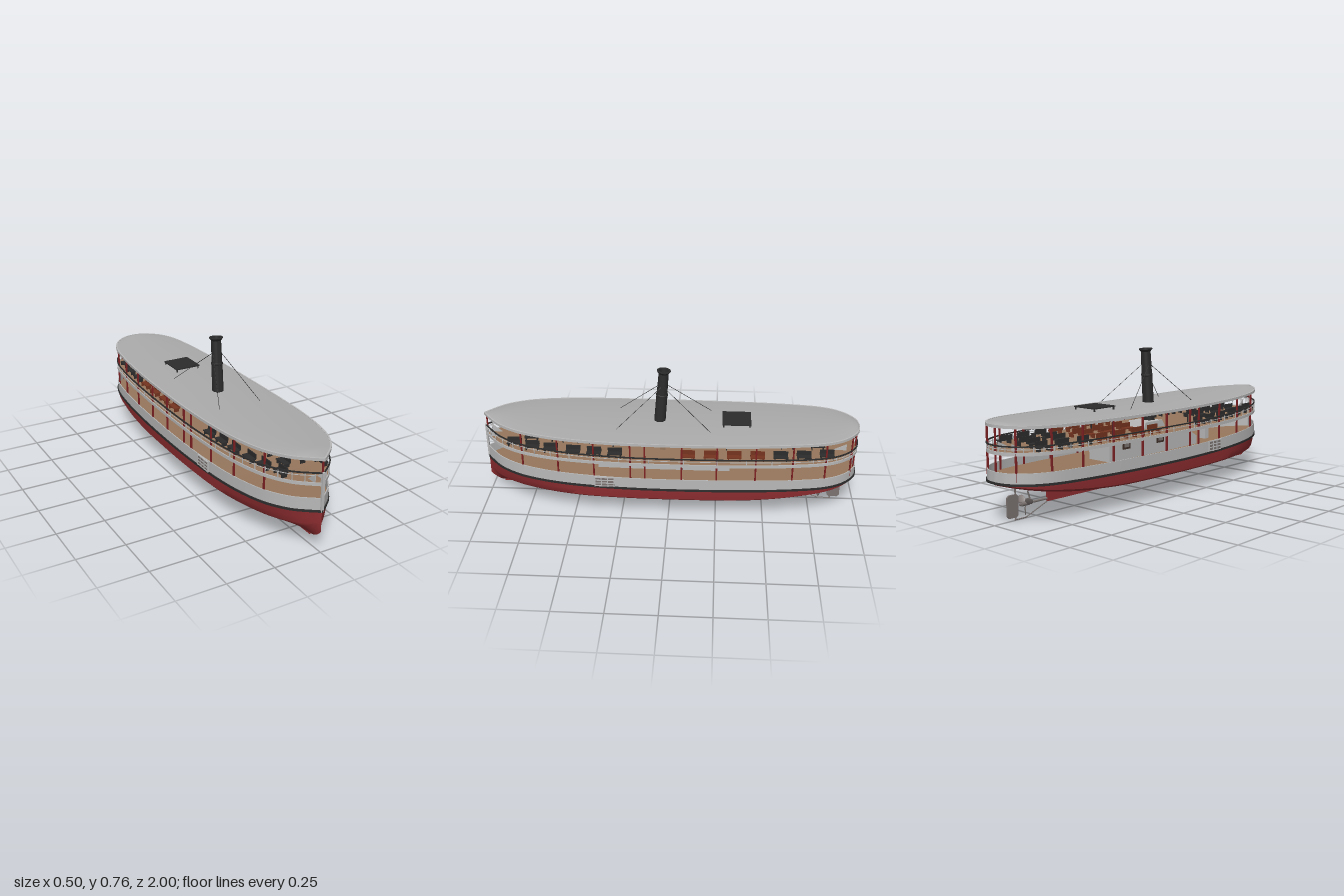
import * as THREE from 'three';
import { toCreasedNormals } from 'three/addons/utils/BufferGeometryUtils.js';

const mat = (name, color) => {
  const m = new THREE.MeshStandardMaterial({ color });
  m.name = name;
  return m;
};
const M = {
  hull: mat('hull red', 0x8c2c2f), post: mat('post red', 0x7d2022), white: mat('painted grey white', 0xb8b8b8),
  roof: mat('roof grey', 0xaaaaaa), black: mat('black iron', 0x2c2c2c), deck: mat('deck timber', 0x96765c),
  metal: mat('bare metal', 0x7a7270), bench: mat('rust bench', 0x74331f), brown: mat('window frame', 0x40302a),
};

// Deck outline: half breadth from bow to stern
const outline = new THREE.CatmullRomCurve3([
  [0.995, 0], [0.965, 0.037], [0.9, 0.105], [0.8, 0.163], [0.7, 0.195], [0.55, 0.222], [0.35, 0.238], [0.1, 0.245],
  [-0.2, 0.243], [-0.45, 0.234], [-0.65, 0.218], [-0.8, 0.195], [-0.88, 0.165], [-0.94, 0.12], [-0.98, 0.062], [-0.992, 0],
].map(([z, x]) => new THREE.Vector3(x, 0, z)));
const half = outline.getPoints(75);
const loop = [...half, ...half.slice(1, -1).reverse().map(p => new THREE.Vector3(-p.x, 0, p.z))];
const halfWidth = z => {
  const i = Math.max(1, half.findIndex(p => p.z <= z));
  const a = half[i - 1], b = half[i];
  return a.x + (b.x - a.x) * (a.z - z) / (a.z - b.z);
};

// Sheer lines: height as a function of z
const sheer = (mid, bow, stern) => z => mid + ((z > 0 ? bow : stern) - mid) * z * z;
const Y = {
  gunwale: sheer(0.185, 0.215, 0.197), mainDeck: sheer(0.2, 0.228, 0.208), bulwark: sheer(0.247, 0.28, 0.25),
  upperDeck: sheer(0.332, 0.35, 0.337), rail: sheer(0.374, 0.41, 0.374), roof: sheer(0.455, 0.48, 0.465),
};

const add = (group, name, geo, material, x = 0, y = 0, z = 0) => {
  const mesh = new THREE.Mesh(geo, material);
  mesh.name = name;
  mesh.position.set(x, y, z);
  group.add(mesh);
  return mesh;
};
const box = (g, name, m, w, h, d, x, y, z) => add(g, name, new THREE.BoxGeometry(w, h, d), m, x, y, z);

// Skin a surface over rings of [x, y, z] points
function loft(rings, closed = false) {
  const n = rings[0].length, index = [];
  const last = closed ? rings.length : rings.length - 1;
  for (let i = 0; i < last; i++) for (let j = 0; j < n - 1; j++) {
    const a = i * n + j, b = ((i + 1) % rings.length) * n + j;
    index.push(a, b, b + 1, a, b + 1, a + 1);
  }
  const geo = new THREE.BufferGeometry();
  geo.setAttribute('position', new THREE.Float32BufferAttribute(rings.flat(2), 3));
  geo.setIndex(index);
  return toCreasedNormals(geo, 0.6);
}

// Rectangular section carried round the outline
function band(in0, out0, y0, y1) {
  const n = loop.length;
  return loft(loop.map((p, i) => {
    const t = loop[(i + 1) % n].clone().sub(loop[(i + n - 1) % n]).normalize();
    const at = (o, y) => [p.x - t.z * o, y(p.z), p.z + t.x * o];
    return [at(out0, y0), at(out0, y1), at(in0, y1), at(in0, y0), at(out0, y0)];
  }), true);
}

// Cambered sheet filling the outline, facing up or down
function sheet(y, crown, up) {
  return loft(half.map(p => Array.from({ length: 13 }, (_, j) => {
    const s = (j / 6 - 1) * (up ? -1 : 1);
    return [s * p.x, y(p.z) + crown * Math.min(1, p.x / 0.1) * (1 - s * s), p.z];
  })));
}

// Side profile in [z, y], extruded across x
function profile(pts, width) {
  const shape = new THREE.Shape(pts.map(p => new THREE.Vector2(...p)));
  return new THREE.ExtrudeGeometry(shape, { depth: width, bevelEnabled: false })
    .rotateY(-Math.PI / 2).translate(width / 2, 0, 0);
}

function rod(g, name, m, a, b, r, sides = 6) {
  const A = new THREE.Vector3(...a), B = new THREE.Vector3(...b), d = B.clone().sub(A);
  const mesh = add(g, name, new THREE.CylinderGeometry(r, r, d.length(), sides), m);
  mesh.position.copy(A).add(B).multiplyScalar(0.5);
  mesh.quaternion.setFromUnitVectors(new THREE.Vector3(0, 1, 0), d.normalize());
}

function hullGeometry() {
  return loft(half.map(({ x: w, z }) => {
    const g = Y.gunwale(z);
    const aft = Math.max(0, (-z - 0.3) / 0.7), fwd = Math.max(0, (z - 0.92) / 0.075);
    const k = 0.06 + 0.13 * aft ** 1.8 + 0.045 * fwd ** 2;
    const fine = 1 - 0.4 * Math.max(0, (z - 0.4) / 0.6) ** 1.5;
    const side = [[0.25, 0.1], [0.55, 0.25], [0.85, 0.4], [0.96, 0.46], [0.99, 0.52], [1, 0.75]]
      .map(([u, v]) => [w * u * (fine + (1 - fine) * v), k + v * (g - k), z]);
    side.push([w, g, z]);
    return [...side.slice().reverse().map(([x, y, q]) => [-x, y, q]), [0, k, z], ...side];
  }));
}

function bench(g, x, z, s, m) {
  const b = new THREE.Group();
  b.name = 'bench';
  b.position.set(x, Y.upperDeck(z) + 0.003, z);
  box(b, 'benchSeat', m, 0.032, 0.005, 0.075, 0, 0.02, 0);
  box(b, 'benchBack', m, 0.005, 0.022, 0.075, -s * 0.016, 0.034, 0);
  for (const e of [-1, 1]) box(b, 'benchLegs', m, 0.028, 0.02, 0.005, 0, 0.01, e * 0.03);
  g.add(b);
}

export function createModel() {
  const g = new THREE.Group();
  const off = (f, d) => z => f(z) + d;

  // Hull, keel and bulwark
  add(g, 'hull', hullGeometry(), M.hull);
  box(g, 'keel', M.hull, 0.014, 0.048, 1.6, 0, 0.081, 0.12);
  add(g, 'bulwark', band(-0.005, 0, off(Y.gunwale, -0.004), Y.bulwark), M.white);
  add(g, 'rubRail', band(-0.002, 0.005, off(Y.gunwale, -0.006), off(Y.gunwale, 0.005)), M.black);
  add(g, 'mainDeck', sheet(Y.mainDeck, 0, true), M.deck);
  box(g, 'stemPost', M.white, 0.014, 0.2, 0.01, 0, 0.31, 0.993);

  // Upper deck and roof
  add(g, 'upperDeckTop', sheet(off(Y.upperDeck, 0.003), 0, true), M.deck);
  add(g, 'upperDeckUnderside', sheet(off(Y.upperDeck, -0.006), 0, false), M.deck);
  add(g, 'upperDeckEdge', band(-0.004, 0.001, off(Y.upperDeck, -0.008), off(Y.upperDeck, 0.008)), M.white);
  add(g, 'roofTop', sheet(Y.roof, 0.012, true), M.roof);
  add(g, 'roofUnderside', sheet(off(Y.roof, -0.008), 0.01, false), M.roof);
  add(g, 'roofRim', band(-0.005, 0.003, off(Y.roof, -0.012), off(Y.roof, 0.002)), M.white);

  // Railing round the upper deck
  add(g, 'handRail', band(-0.004, 0.002, off(Y.rail, -0.006), Y.rail), M.black);
  add(g, 'midRail', band(-0.002, 0, off(Y.rail, -0.018), off(Y.rail, -0.015)), M.white);
  for (let i = 2; i < loop.length; i += 3) {
    const { x, z } = loop[i], y0 = Y.upperDeck(z), y1 = Y.rail(z) - 0.004;
    box(g, 'stanchion', M.white, 0.004, y1 - y0, 0.004, x * 0.99, (y0 + y1) / 2, z * 0.998);
  }

  // Red posts carrying the roof
  for (const z of [0.77, 0.575, 0.385, 0.195, 0.12, -0.07, -0.25, -0.45, -0.64, -0.81, -0.95]) {
    const y0 = Y.mainDeck(z), y1 = Y.roof(z) - 0.006;
    for (const s of [-1, 1])
      box(g, 'roofPost', M.post, 0.008, y1 - y0, 0.008, s * (halfWidth(z) - 0.007), (y0 + y1) / 2, z);
  }
  box(g, 'bowPost', M.post, 0.007, 0.075, 0.007, 0, 0.44, 0.985);
  box(g, 'sternPost', M.post, 0.007, 0.25, 0.007, 0, 0.335, -0.984);

  // Deckhouse with sloping front and framed windows
  add(g, 'deckhouse', profile([[-0.32, 0.195], [0.385, 0.195], [0.385, 0.25], [0.25, 0.327], [-0.32, 0.327]], 0.145), M.white);
  box(g, 'forwardCabinet', M.white, 0.05, 0.12, 0.035, 0, 0.268, 0.54);
  for (const s of [-1, 1]) for (const z of [0.07, -0.195]) {
    box(g, 'windowFrame', M.brown, 0.006, 0.05, 0.055, s * 0.073, 0.278, z);
    box(g, 'windowPane', M.metal, 0.006, 0.03, 0.036, s * 0.0745, 0.278, z);
  }
  add(g, 'funnelCasing', profile([[-0.05, 0.33], [0.13, 0.33], [0.1, 0.37], [-0.03, 0.37]], 0.12), M.white);
  box(g, 'locker', M.deck, 0.014, 0.095, 0.028, 0.085, 0.382, 0.035);
  for (const s of [-1, 1]) for (const z of [0.3, -0.3])
    box(g, 'innerPost', M.black, 0.006, 0.13, 0.006, s * 0.077, 0.397, z);

  // Triangular brackets at bow and stern of the upper deck
  for (const s of [-1, 1]) {
    add(g, 'bowBracket', profile([[0.915, 0.352], [0.965, 0.352], [0.965, 0.395]], 0.004), M.white, s * 0.025);
    add(g, 'sternBracket', profile([[-0.93, 0.34], [-0.86, 0.34], [-0.93, 0.375]], 0.004), M.white, s * 0.05);
  }

  // Benches along both sides, with rust ones aft of the funnel
  for (const s of [-1, 1]) {
    for (const z of [0.82, 0.72, 0.62, 0.5, 0.39, 0.28, -0.1, -0.22, -0.34, -0.46, -0.58, -0.7, -0.82])
      bench(g, s * halfWidth(z) * 0.74, z, s, z < 0 && z > -0.5 ? M.bench : M.black);
    for (const z of [0.74, 0.6, 0.46, -0.16, -0.3, -0.44, -0.62, -0.78])
      bench(g, s * 0.045, z, s, z < 0 && z > -0.5 ? M.bench : M.black);
  }

  // Raked funnel with collar, lip and guy wires
  const funnel = new THREE.Group();
  funnel.name = 'funnel';
  funnel.position.set(0, 0.34, 0.065);
  funnel.rotation.x = -0.075;
  const pipe = [[0.031, 0], [0.029, 0.27], [0.031, 0.272], [0.031, 0.28], [0.028, 0.282], [0.026, 0.4],
    [0.036, 0.412], [0.036, 0.416], [0.024, 0.416], [0.022, 0.36], [0, 0.36]];
  add(funnel, 'funnelPipe', toCreasedNormals(new THREE.LatheGeometry(pipe.map(p => new THREE.Vector2(...p)), 24), 0.6), M.black);
  g.add(funnel);
  for (const s of [-1, 1]) for (const z of [0.28, -0.215])
    rod(g, 'guyWire', M.black, [s * 0.022, 0.675, 0.04], [s * 0.12, 0.463, z], 0.0014, 5);

  // Raised hatch on the roof
  box(g, 'hatchCover', M.black, 0.145, 0.006, 0.15, 0, 0.484, -0.35);
  for (const x of [-0.066, 0.066]) for (const z of [-0.418, -0.282])
    box(g, 'hatchLeg', M.black, 0.006, 0.025, 0.006, x, 0.472, z);

  // Boarding gates hung on the bulwark
  for (const s of [-1, 1]) {
    const x = s * 0.2435;
    box(g, 'gatePanel', M.metal, 0.004, 0.055, 0.1, x, 0.222, 0.33);
    for (let i = 0; i < 4; i++) box(g, 'gateSlat', M.white, 0.009, 0.005, 0.105, x, 0.198 + i * 0.017, 0.33);
    for (let i = 0; i < 4; i++) box(g, 'gateUpright', M.white, 0.009, 0.057, 0.005, x, 0.222, 0.28 + i * 0.0333);
  }

  // Propeller, shaft, rudder and its support
  rod(g, 'shaft', M.metal, [0, 0.07, -0.66], [0, 0.07, -0.85], 0.006, 10);
  rod(g, 'propellerHub', M.metal, [0, 0.07, -0.795], [0, 0.07, -0.84], 0.011, 12);
  for (let i = 0; i < 3; i++) {
    const arm = new THREE.Group();
    arm.name = 'propellerBlade';
    arm.position.set(0, 0.07, -0.815);
    arm.rotation.z = Math.PI + i * Math.PI * 2 / 3;
    const blade = add(arm, 'blade', new THREE.SphereGeometry(1, 14, 8), M.metal, 0, 0.032, 0);
    blade.scale.set(0.019, 0.025, 0.003);
    blade.rotation.y = 0.6;
    g.add(arm);
  }
  add(g, 'rudder', profile([[-0.86, 0.025], [-0.87, 0.015], [-0.915, 0.015], [-0.926, 0.027], [-0.926, 0.115],
    [-0.915, 0.125], [-0.87, 0.125], [-0.86, 0.115]], 0.008), M.metal);
  rod(g, 'rudderPost', M.metal, [0, 0.002, -0.875], [0, 0.17, -0.875], 0.004, 8);
  rod(g, 'skegStrut', M.metal, [0, 0.06, -0.67], [0, 0.004, -0.81], 0.003);
  rod(g, 'skegFoot', M.metal, [0, 0.003, -0.81], [0, 0.003, -0.88], 0.003);
  rod(g, 'shaftBracket', M.metal, [0, 0.07, -0.78], [0, 0.13, -0.8], 0.004);
  return g;
}
